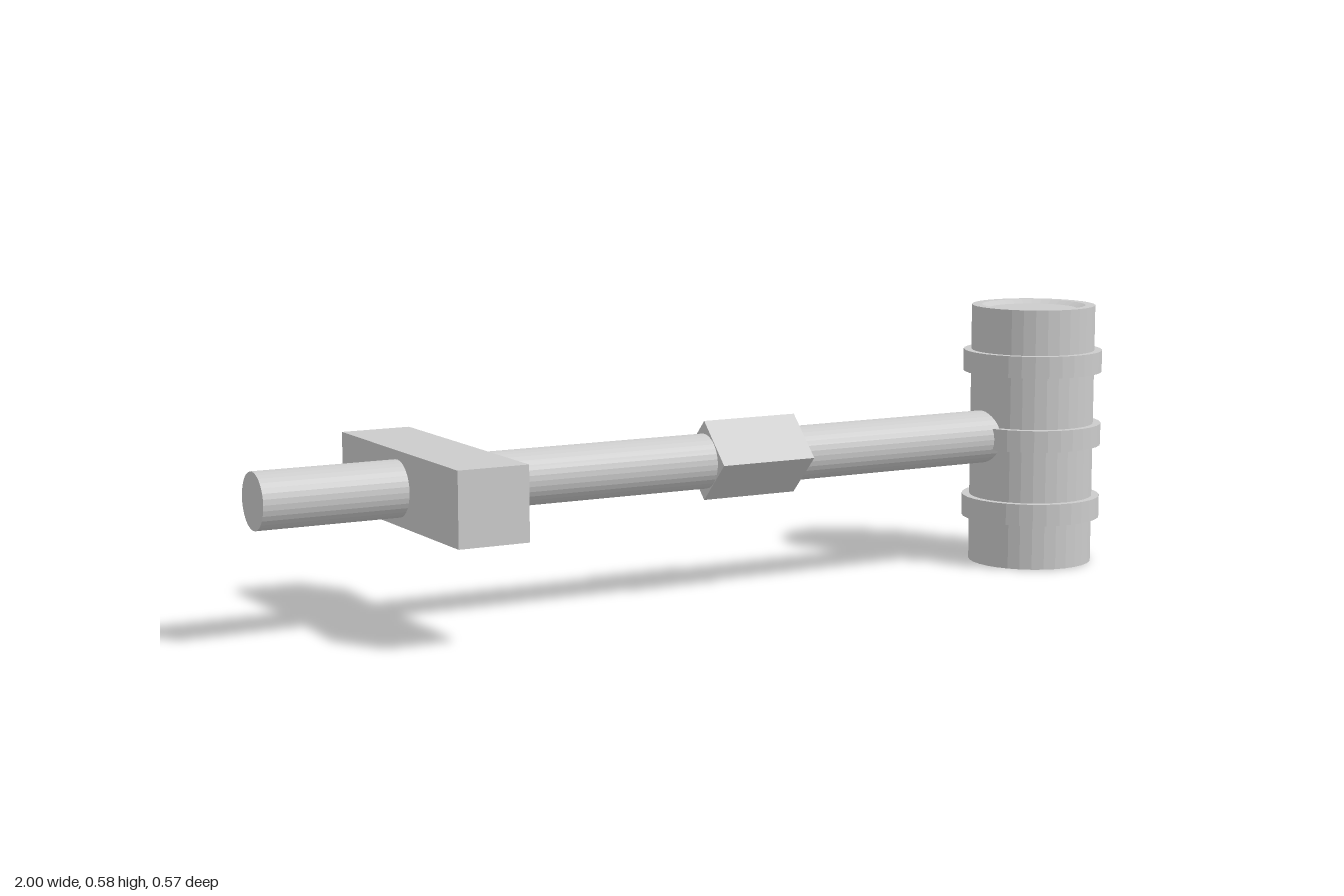
import * as THREE from 'three';

const HEAD_X = 0.846, MID_Y = 0.289, HEIGHT = 0.577;

export function createModel() {
  const group = new THREE.Group();
  const material = new THREE.MeshStandardMaterial({ color: 0xcccccc, flatShading: true });

  function add(name, geometry, x, y) {
    const mesh = new THREE.Mesh(geometry, material);
    mesh.name = name;
    mesh.position.set(x, y, 0);
    group.add(mesh);
    return mesh;
  }

  // Hammer head: a drum with a shallow dished recess in each striking face
  const dish = 0.008;
  const profile = [
    [0, dish], [0.097, dish], [0.115, 0], [0.137, 0],
    [0.137, HEIGHT], [0.115, HEIGHT], [0.097, HEIGHT - dish], [0, HEIGHT - dish],
  ].map(([r, y]) => new THREE.Vector2(r, y));
  add('head', new THREE.LatheGeometry(profile, 32), HEAD_X, 0);

  // Three raised bands around the head
  for (const offset of [-0.164, 0, 0.164]) {
    add('headBand', new THREE.CylinderGeometry(0.154, 0.154, 0.048, 32), HEAD_X, MID_Y + offset);
  }

  // Round handle running from the free end into the head
  const handleEnd = HEAD_X - 0.05;
  const handle = new THREE.CylinderGeometry(0.058, 0.058, handleEnd + 1, 32).rotateZ(Math.PI / 2);
  add('handle', handle, (handleEnd - 1) / 2, MID_Y);

  // Square collar turned on edge around the handle
  const collar = new THREE.BoxGeometry(0.22, 0.119, 0.119).rotateX(Math.PI / 4);
  add('collar', collar, 0.11, MID_Y + 0.001);

  // Crossguard near the free end
  add('crossguard', new THREE.BoxGeometry(0.15, 0.152, 0.572), -0.622, MID_Y);

  return group;
}
